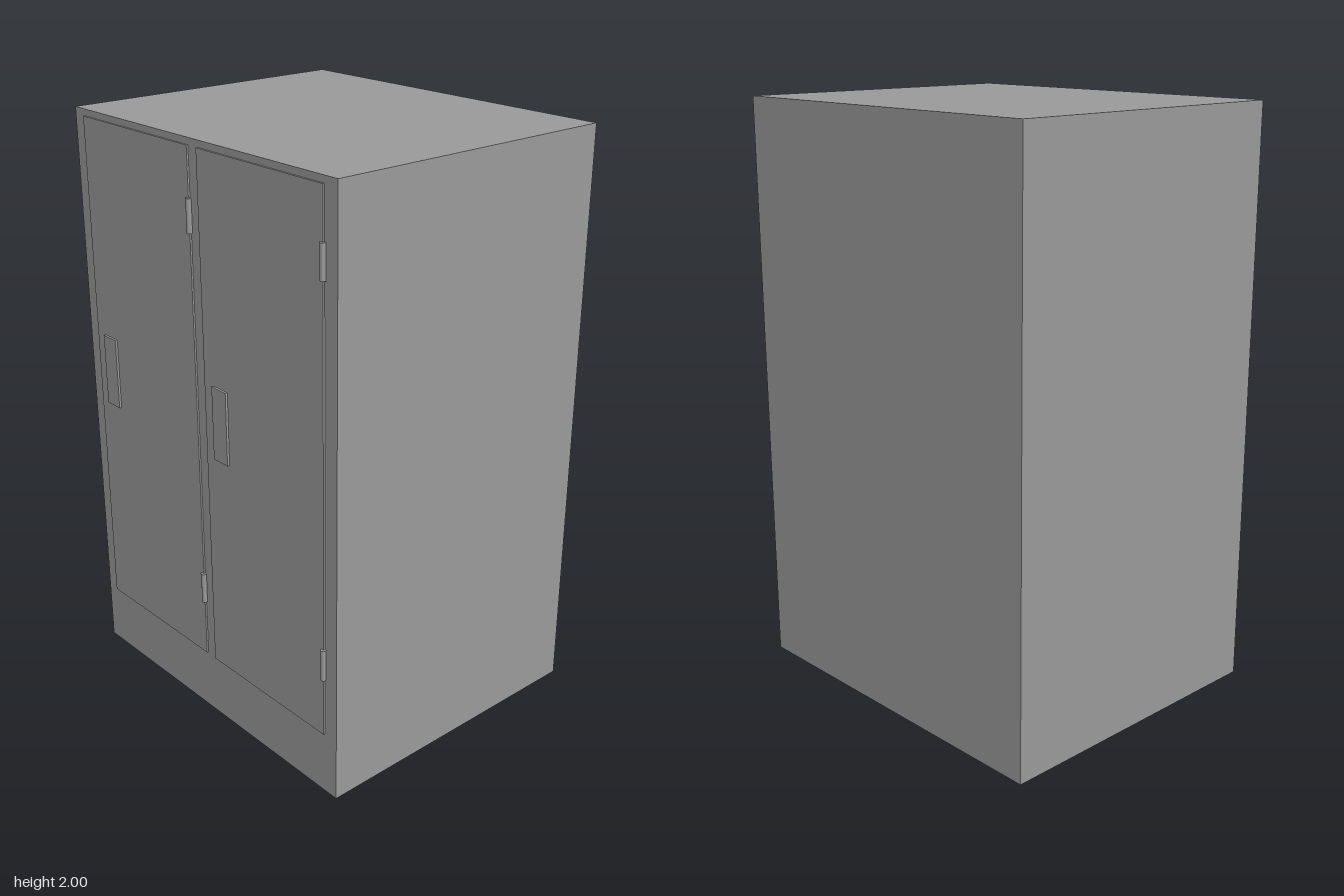
import * as THREE from 'three';

export function createModel() {
  const cabinet = new THREE.Group();
  cabinet.name = 'cabinet';
  const grey = new THREE.MeshStandardMaterial({ color: 0x999999 });
  grey.name = 'grey metal';

  const add = (parent, name, geometry, x, y, z) => {
    const mesh = new THREE.Mesh(geometry, grey);
    mesh.name = name;
    mesh.position.set(x, y, z);
    parent.add(mesh);
  };

  // Plain closed body
  add(cabinet, 'body', new THREE.BoxGeometry(1.061, 2, 1.276), 0.0055, 1, 0);

  // Two doors on the -x side, each with a flat handle and two barrel hinges
  for (const [label, z] of [['back', -0.304], ['front', 0.304]]) {
    const door = new THREE.Group();
    door.name = label + 'Door';
    door.position.z = z;
    add(door, 'doorPanel', new THREE.BoxGeometry(0.012, 1.758, 0.562), -0.525, 1.099, 0);
    add(door, 'handle', new THREE.BoxGeometry(0.014, 0.248, 0.07), -0.532, 1.118, -0.2);
    for (const y of [0.479, 1.765]) {
      add(door, 'hinge', new THREE.CylinderGeometry(0.009, 0.009, 0.108, 16), -0.531, y, 0.28);
    }
    cabinet.add(door);
  }

  return cabinet;
}
